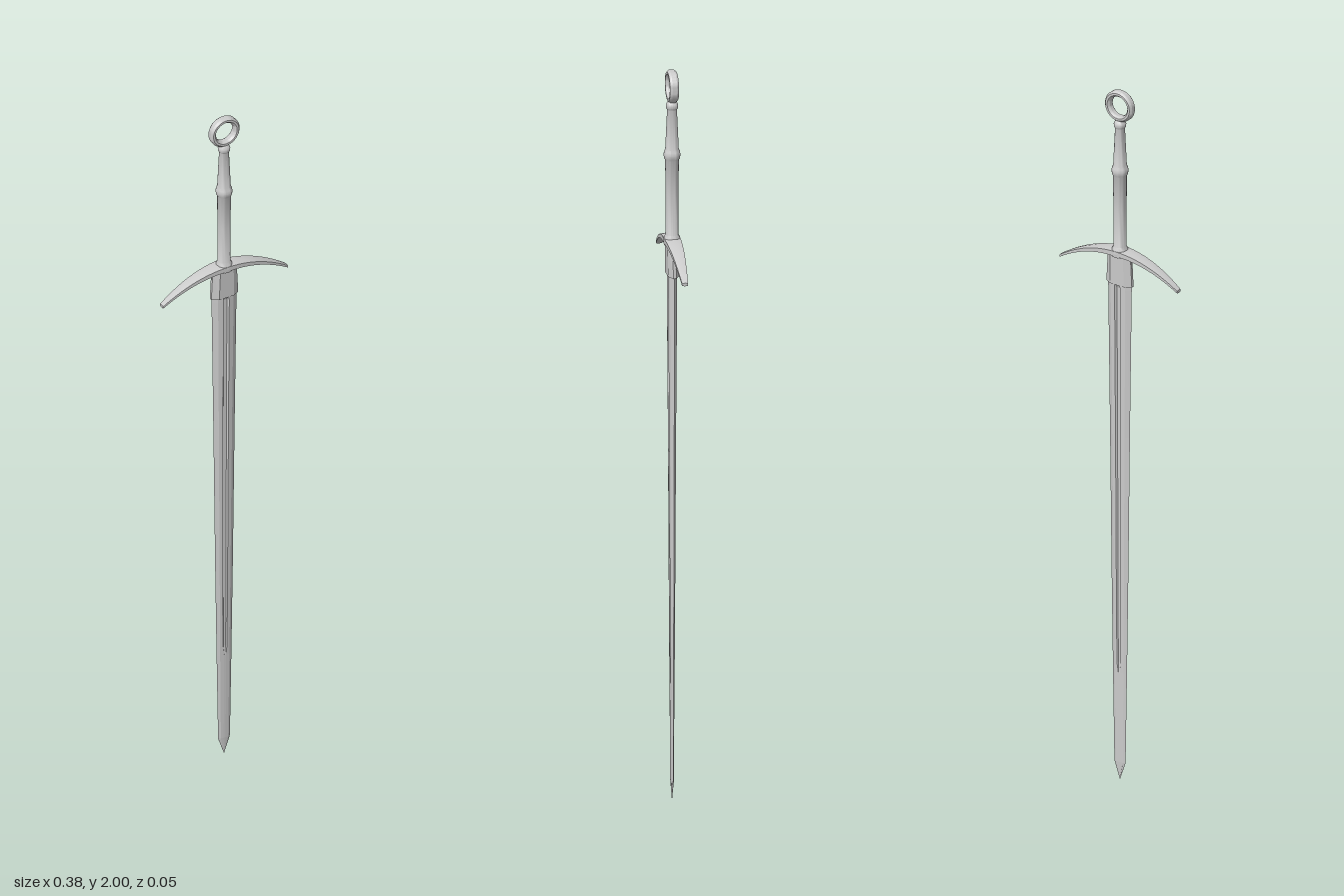
import * as THREE from 'three';
import { toCreasedNormals } from 'three/addons/utils/BufferGeometryUtils.js';

const material = new THREE.MeshStandardMaterial({ color: 0xcccccc });
const flatMaterial = new THREE.MeshStandardMaterial({ color: 0xcccccc, flatShading: true });

function addMesh(group, name, geometry, mat = material) {
  const mesh = new THREE.Mesh(geometry, mat);
  mesh.name = name;
  group.add(mesh);
  return mesh;
}

function lathe(profile, segments) {
  const points = profile.map(([r, y]) => new THREE.Vector2(r, y));
  return toCreasedNormals(new THREE.LatheGeometry(points, segments), 0.7);
}

// Joins equal-sized rings of [x, y, z], listed top to bottom, each running from +x through +z
function loft(rings) {
  const n = rings[0].length;
  const index = [];
  for (let i = 0; i < rings.length - 1; i++) {
    for (let j = 0; j < n; j++) {
      const a = i * n + j, b = i * n + (j + 1) % n;
      index.push(a, b, a + n, b, b + n, a + n);
    }
  }
  const last = (rings.length - 1) * n;
  for (let j = 1; j < n - 1; j++) {
    index.push(0, j + 1, j, last, last + j, last + j + 1);
  }
  const geometry = new THREE.BufferGeometry();
  geometry.setAttribute('position', new THREE.Float32BufferAttribute(rings.flat(2), 3));
  geometry.setIndex(index);
  const flat = geometry.toNonIndexed();
  flat.computeVertexNormals();
  return flat;
}

// Blade section: two sharp edges, flat faces and a sunken central groove
function bladeRing([y, width, thick, groove, depth]) {
  const front = [
    [width, 0], [width * 0.62, thick * 0.8], [groove, thick], [groove * 0.6, thick - depth],
    [-groove * 0.6, thick - depth], [-groove, thick], [-width * 0.62, thick * 0.8],
  ];
  const back = front.map(([x, z]) => [-x, -z]);
  return [...front, ...back].map(([x, z]) => [x, y, z]);
}

function sleeveRing(y, width, thick) {
  const front = [[width, 0.004], [width * 0.55, thick], [-width * 0.55, thick], [-width, 0.004]];
  return [...front, ...front.map(([x, z]) => [-x, -z])].map(([x, z]) => [x, y, z]);
}

export function createModel() {
  const sword = new THREE.Group();
  sword.name = 'sword';

  // Blade: height, half width, half thickness, groove half width, groove depth
  addMesh(sword, 'blade', loft([
    [1.53, 0.039, 0.012, 0.009, 0],
    [1.445, 0.038, 0.012, 0.009, 0],
    [1.43, 0.038, 0.012, 0.009, 0.006],
    [1.0, 0.032, 0.009, 0.008, 0.005],
    [0.6, 0.027, 0.007, 0.007, 0.004],
    [0.34, 0.023, 0.0055, 0.006, 0.003],
    [0.31, 0.0225, 0.005, 0.003, 0],
    [0.05, 0.018, 0.0035, 0.003, 0],
    [0, 0.0005, 0.0005, 0.0001, 0],
  ].map(bladeRing)), flatMaterial);

  // Sleeve below the guard
  addMesh(sword, 'bladeSleeve', loft([
    sleeveRing(1.535, 0.036, 0.016),
    sleeveRing(1.44, 0.041, 0.014),
  ]), flatMaterial);

  // Cross guard: a bar that droops and tapers toward its ends
  const bar = new THREE.BoxGeometry(0.38, 1, 1, 24, 1, 2);
  const p = bar.attributes.position;
  for (let i = 0; i < p.count; i++) {
    const x = p.getX(i), t = Math.abs(x) / 0.19;
    const crown = 1 - 0.3 * Math.abs(p.getZ(i) * 2);
    const halfDepth = 0.022 - 0.009 * t - 0.005 * t * t;
    const y = 1.533 - 1.75 * x * x + p.getY(i) * (0.02 - 0.011 * t) * crown;
    p.setXYZ(i, x, y, p.getZ(i) * 2 * halfDepth);
  }
  bar.computeVertexNormals();
  addMesh(sword, 'crossGuard', toCreasedNormals(bar, 0.4));

  // Grip with its collars, from the guard up to the ring
  addMesh(sword, 'grip', lathe([
    [0, 1.52], [0.021, 1.522], [0.023, 1.532], [0.021, 1.543], [0.017, 1.55],
    [0.0175, 1.66], [0.018, 1.755], [0.021, 1.76], [0.0225, 1.769], [0.021, 1.778],
    [0.018, 1.784], [0.013, 1.893], [0.016, 1.897], [0.0165, 1.905], [0.014, 1.911],
    [0.009, 1.918], [0, 1.919],
  ], 20));

  // Ring pommel with bevelled edges
  const ring = lathe([
    [0.028, -0.006], [0.033, -0.012], [0.039, -0.012], [0.044, -0.006],
    [0.044, 0.006], [0.039, 0.012], [0.033, 0.012], [0.028, 0.006], [0.028, -0.006],
  ], 32);
  ring.rotateX(Math.PI / 2);
  addMesh(sword, 'pommelRing', ring).position.y = 1.956;

  return sword;
}
